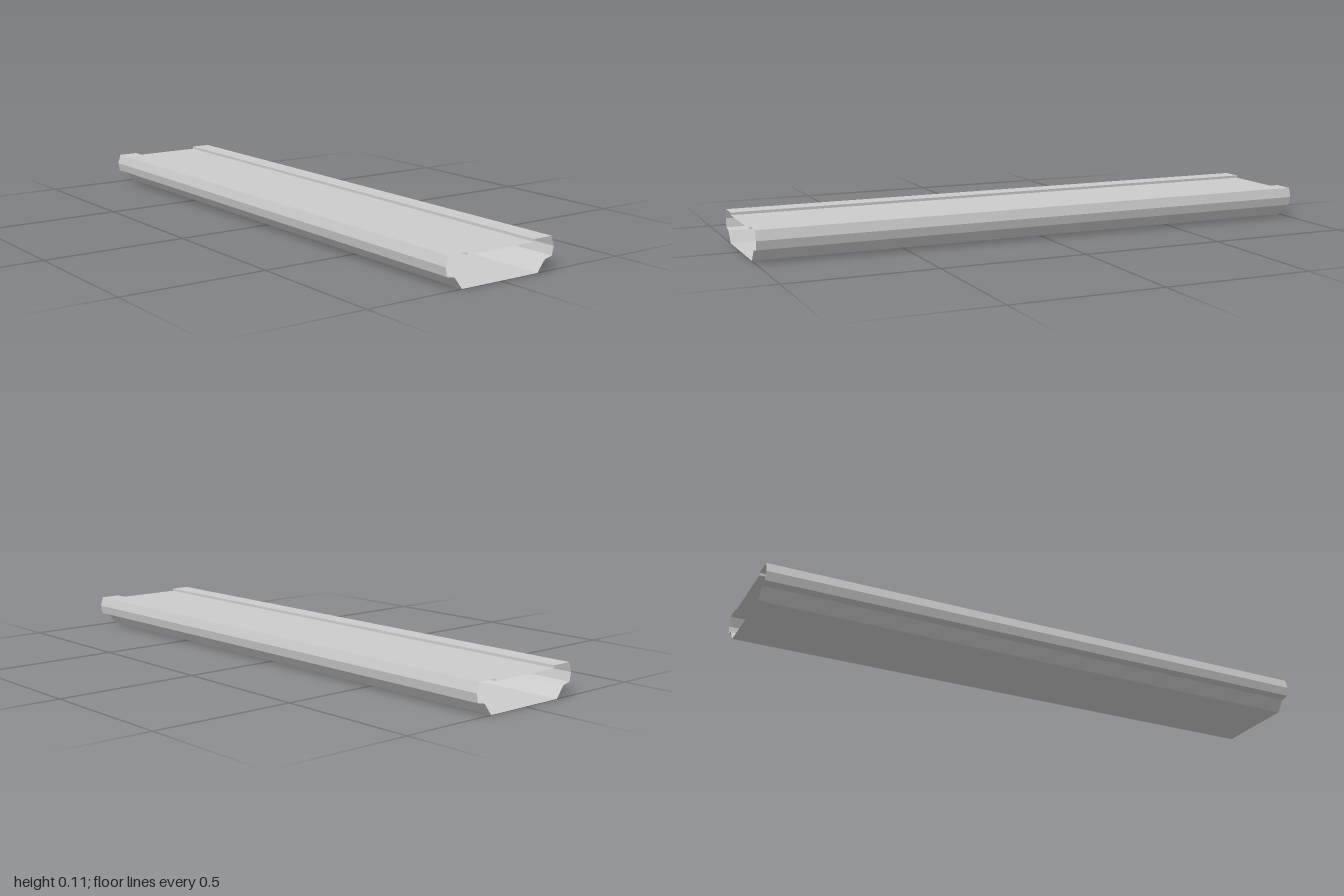
import * as THREE from 'three';

const LENGTH = 2;
const material = new THREE.MeshStandardMaterial({ color: 0xcccccc, flatShading: true, side: THREE.DoubleSide });

// Sheet swept along z from a cross-section of [x, y] points, listed clockwise seen from the front
function sheet(name, profile) {
  const positions = [];
  const h = LENGTH / 2;
  for (let i = 0; i < profile.length - 1; i++) {
    const [ax, ay] = profile[i];
    const [bx, by] = profile[i + 1];
    positions.push(ax, ay, h, bx, by, h, bx, by, -h);
    positions.push(ax, ay, h, bx, by, -h, ax, ay, -h);
  }
  const geometry = new THREE.BufferGeometry();
  geometry.setAttribute('position', new THREE.Float32BufferAttribute(positions, 3));
  geometry.computeVertexNormals();
  const mesh = new THREE.Mesh(geometry, material);
  mesh.name = name;
  return mesh;
}

// Same cross-section on the -x side, reversed to keep the faces outward
const mirror = (profile) => profile.map(([x, y]) => [-x, y]).reverse();

export function createModel() {
  const group = new THREE.Group();
  group.name = 'hollowPlank';

  // Recessed top and flat underside
  group.add(sheet('topPanel', [[-0.135, 0.099], [0.135, 0.099]]));
  group.add(sheet('bottomPanel', [[0.152, 0], [-0.152, 0]]));

  // Paired edges: raised lip with its step, bulged side rail, chamfer under the rail
  const edges = {
    Lip: [[0.135, 0.099], [0.135, 0.108], [0.207, 0.108]],
    Rail: [[0.207, 0.108], [0.217, 0.075], [0.211, 0.045], [0.182, 0.039]],
    Chamfer: [[0.182, 0.039], [0.152, 0]],
  };
  for (const [part, profile] of Object.entries(edges)) {
    group.add(sheet('left' + part, profile));
    group.add(sheet('right' + part, mirror(profile)));
  }
  return group;
}
